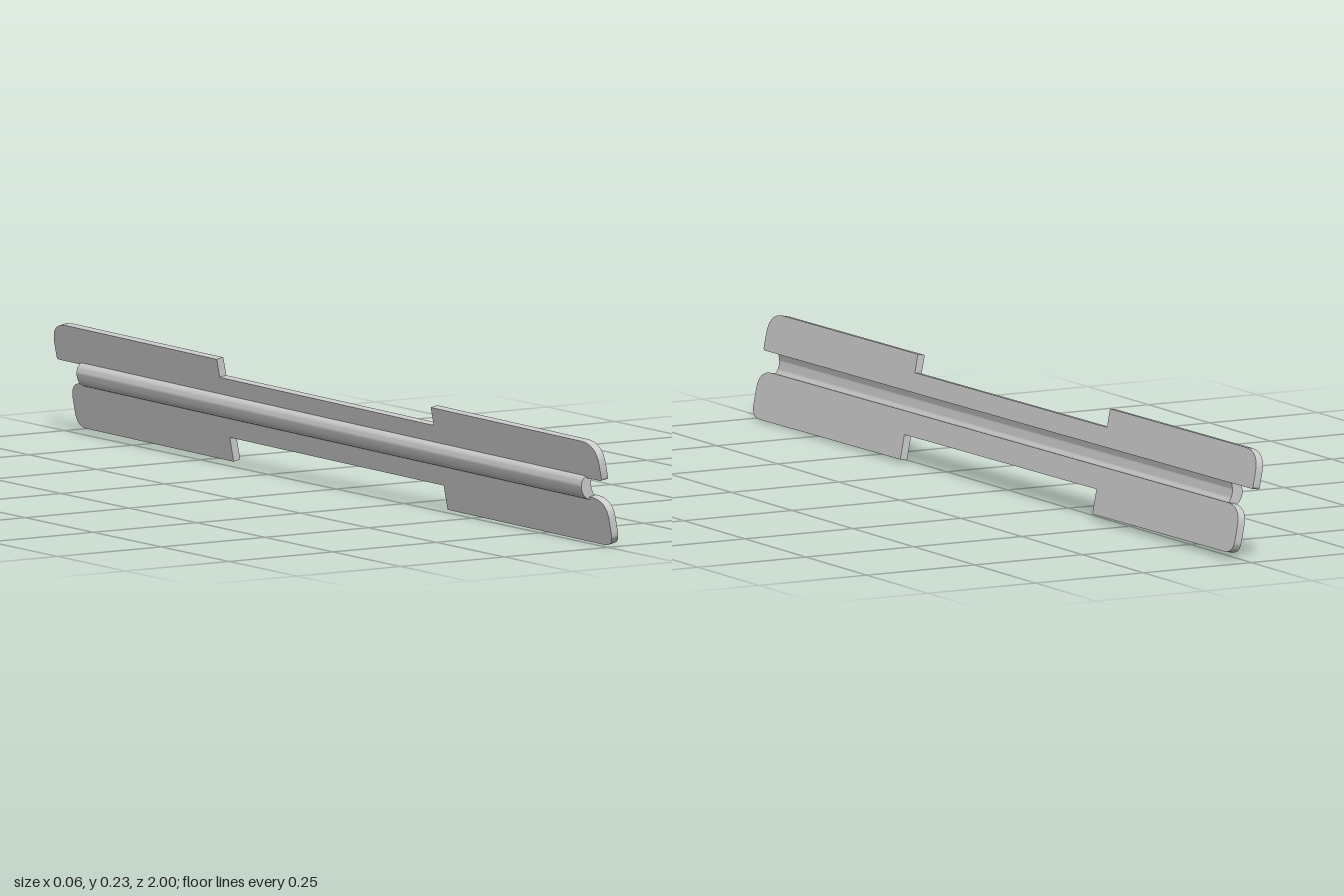
import * as THREE from 'three';
import { toCreasedNormals } from 'three/addons/utils/BufferGeometryUtils.js';

const THICK = 0.016; // plate thickness
const FACE = 0.0045; // offset of the plates' outer face
const STEP = 0.392; // half length of the narrow middle

const material = new THREE.MeshStandardMaterial({ color: 0xcccccc });

function mesh(name, geometry) {
  const m = new THREE.Mesh(toCreasedNormals(geometry, 0.5), material);
  m.name = name;
  return m;
}

// Plate outline in (length, height): straight inner edge, stepped outer edge, rounded ends.
function plate(name, { back, front, inner, narrow, wide, rInner, rOuter }) {
  const s = Math.sign(wide);
  const shape = new THREE.Shape();
  shape.moveTo(back + rInner, inner);
  shape.lineTo(front - rInner, inner);
  shape.quadraticCurveTo(front, inner, front, inner + s * rInner * 0.7);
  shape.lineTo(front, wide - s * rOuter * 0.8);
  shape.quadraticCurveTo(front, wide, front - rOuter, wide);
  shape.lineTo(STEP, wide);
  shape.lineTo(STEP, narrow);
  shape.lineTo(-STEP, narrow);
  shape.lineTo(-STEP, wide);
  shape.lineTo(back + rOuter, wide);
  shape.quadraticCurveTo(back, wide, back, wide - s * rOuter * 0.8);
  shape.lineTo(back, inner + s * rInner * 0.7);
  shape.quadraticCurveTo(back, inner, back + rInner, inner);
  const geo = new THREE.ExtrudeGeometry(shape, { depth: THICK, bevelEnabled: false, curveSegments: 8 });
  geo.rotateY(-Math.PI / 2).translate(FACE, 0, 0);
  return mesh(name, geo);
}

export function createModel() {
  const group = new THREE.Group();
  group.name = 'railBracket';

  const bar = new THREE.Group();
  bar.name = 'tiltedBar';
  bar.position.y = 0.122;
  bar.rotation.set(0.006, 0.003, 0.195);
  group.add(bar);

  // Two stepped plates, one above and one below the channel
  bar.add(plate('upperPlate', {
    back: -1, front: 0.997, inner: 0.022, narrow: 0.062, wide: 0.1, rInner: 0.008, rOuter: 0.055,
  }));
  bar.add(plate('lowerPlate', {
    back: -0.965, front: 1, inner: -0.018, narrow: -0.065, wide: -0.116, rInner: 0.055, rOuter: 0.035,
  }));

  // Central channel: rounded rib behind, shallow groove in front
  const profile = new THREE.Shape();
  profile.moveTo(0.003, 0.023);
  profile.lineTo(-0.0115, 0.026);
  profile.bezierCurveTo(-0.0325, 0.02, -0.0325, -0.016, -0.0115, -0.024);
  profile.lineTo(0.003, -0.021);
  profile.quadraticCurveTo(-0.01, 0, 0.003, 0.023);
  const rib = new THREE.ExtrudeGeometry(profile, { depth: 1.85, bevelEnabled: false, curveSegments: 12 });
  rib.translate(0, 0, -0.91);
  bar.add(mesh('centralChannel', rib));

  return group;
}
